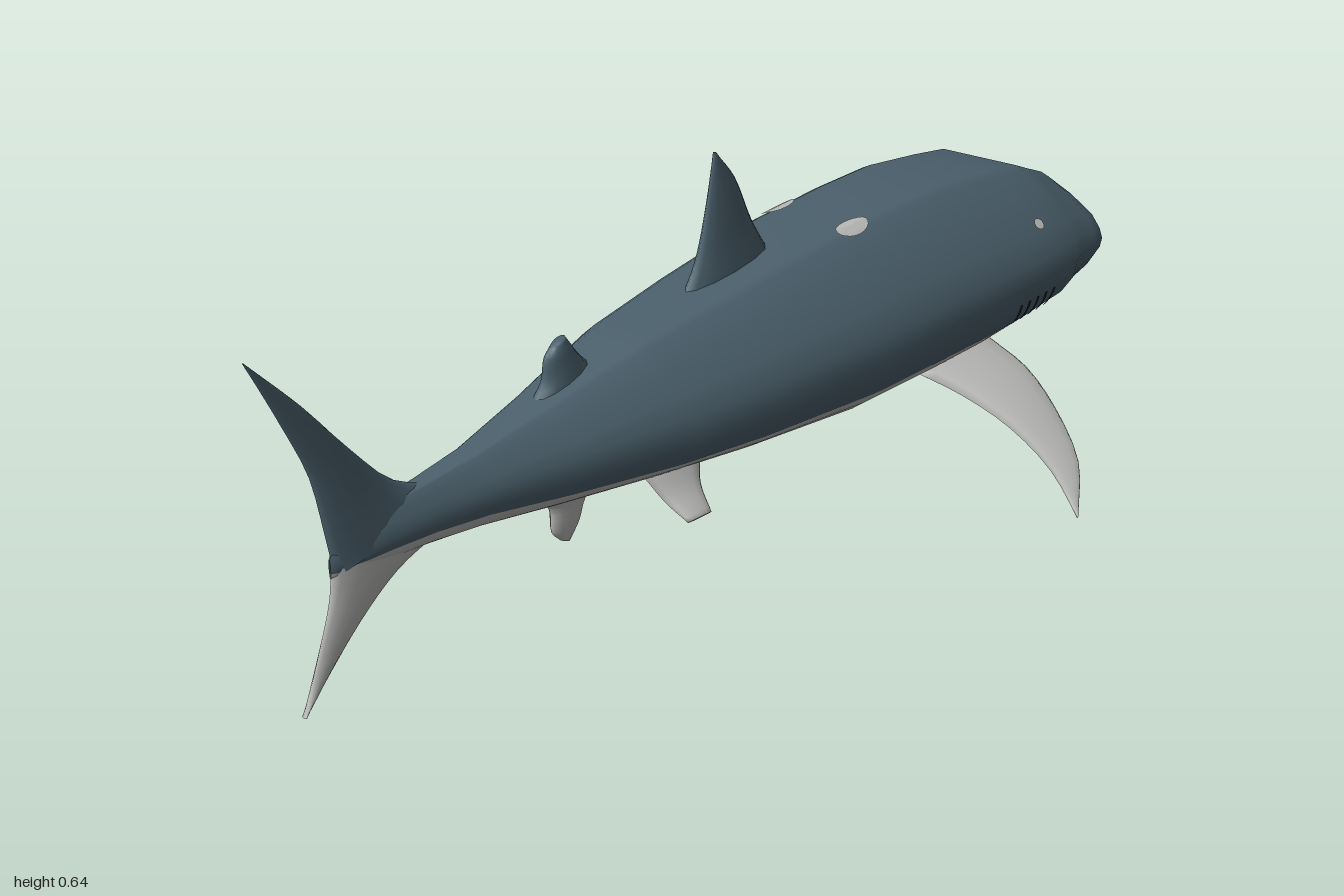
import * as THREE from 'three';

const paint = (name, color) => {
  const m = new THREE.MeshStandardMaterial({ color, side: THREE.DoubleSide });
  m.name = name;
  return m;
};

// Body stations: x, top, bottom, widest height, half width, colour split height
const STATIONS = [
  [-0.88, 0.262, 0.232, 0.25, 0.002, 0.24], [-0.87, 0.28, 0.228, 0.25, 0.008, 0.24],
  [-0.78, 0.31, 0.222, 0.262, 0.026, 0.245], [-0.7, 0.316, 0.216, 0.265, 0.037, 0.244],
  [-0.6, 0.327, 0.204, 0.265, 0.05, 0.235], [-0.45, 0.357, 0.182, 0.265, 0.087, 0.218],
  [-0.28, 0.396, 0.163, 0.265, 0.134, 0.207], [-0.24, 0.404, 0.16, 0.265, 0.146, 0.205],
  [-0.06, 0.425, 0.138, 0.265, 0.176, 0.197], [0.2, 0.451, 0.113, 0.265, 0.208, 0.191],
  [0.4, 0.458, 0.11, 0.268, 0.22, 0.19], [0.55, 0.457, 0.113, 0.268, 0.228, 0.19],
  [0.7, 0.44, 0.12, 0.268, 0.228, 0.192], [0.8, 0.426, 0.128, 0.268, 0.226, 0.197],
  [0.85, 0.406, 0.136, 0.266, 0.21, 0.205], [0.91, 0.383, 0.151, 0.264, 0.204, 0.218],
  [0.95, 0.358, 0.17, 0.262, 0.194, 0.226], [0.975, 0.332, 0.185, 0.26, 0.174, 0.229],
  [0.99, 0.3, 0.206, 0.26, 0.145, 0.23], [1, 0.268, 0.232, 0.258, 0.1, 0.23],
  [1, 0.258, 0.258, 0.258, 0, 0.23],
];
// Upper half section: width and height fractions
const UPPER = [[1, 0], [0.965, 0.2], [0.87, 0.45], [0.62, 0.78], [0.44, 0.95], [0.36, 1], [0, 1]];
const LIGHT_ROWS = 6;

const stationAt = (x) => {
  const i = Math.max(1, STATIONS.findIndex((s) => s[0] >= x));
  const a = STATIONS[i - 1], b = STATIONS[i], t = (x - a[0]) / (b[0] - a[0]);
  return a.map((v, k) => v + (b[k] - v) * t);
};

// Half width of the body at a point along its side
function sideZ(x, y) {
  const [, top, bottom, mid, w] = stationAt(x);
  if (y < mid) return w * Math.sqrt(Math.max(0, 1 - ((mid - y) / (mid - bottom)) ** 2));
  const h = (y - mid) / (top - mid);
  const i = Math.max(1, UPPER.findIndex((p) => p[1] >= h));
  const a = UPPER[i - 1], b = UPPER[i];
  return w * (a[0] + (b[0] - a[0]) * (h - a[1]) / (b[1] - a[1]));
}

// Height of the back above a point
function topY(x, z) {
  const [, top, , mid, w] = stationAt(x);
  const f = Math.abs(z) / w;
  const i = Math.max(1, UPPER.findIndex((p) => p[0] <= f));
  const a = UPPER[i - 1], b = UPPER[i];
  return mid + (top - mid) * (a[1] + (b[1] - a[1]) * (f - a[0]) / (b[0] - a[0]));
}

// Skin through closed rings; cells chosen by isSecond go in a second group
function loft(rings, isSecond = () => false) {
  const n = rings[0].length, first = [], second = [];
  for (let i = 0; i < rings.length - 1; i++) {
    for (let j = 0; j < n; j++) {
      const a = i * n + j, b = i * n + (j + 1) % n;
      (isSecond(j) ? second : first).push(a, a + n, b + n, a, b + n, b);
    }
  }
  const geo = new THREE.BufferGeometry().setFromPoints(rings.flat());
  geo.setIndex([...first, ...second]);
  geo.addGroup(0, first.length, 0);
  if (second.length) geo.addGroup(first.length, second.length, 1);
  geo.computeVertexNormals();
  return geo;
}

function bodyRing([x, top, bottom, mid, w, split]) {
  const s = THREE.MathUtils.clamp((mid - split) / Math.max(mid - bottom, 1e-4), 0, 1);
  const start = Math.asin(s), half = [];
  const lower = (a) => half.push([w * Math.cos(a), mid - (mid - bottom) * Math.sin(a)]);
  for (let k = 0; k <= LIGHT_ROWS; k++) lower(Math.PI / 2 + (start - Math.PI / 2) * k / LIGHT_ROWS);
  lower(start / 2);
  for (const [f, h] of UPPER) half.push([w * f, mid + (top - mid) * h]);
  const mirrored = half.slice(1, -1).reverse().map(([z, y]) => [-z, y]);
  return [...half, ...mirrored].map(([z, y]) => new THREE.Vector3(x, y, z));
}

// Lens-section fin between a leading and a trailing edge, root to tip
function finGeometry(lead, trail, rootThick, tipThick) {
  const curve = (pts) => new THREE.CatmullRomCurve3(pts.map((p) => new THREE.Vector3(...p)));
  const front = curve(lead), back = curve(trail), steps = 12, sides = 12, rings = [];
  const chord = front.getPoint(0).sub(back.getPoint(0));
  const span = front.getPoint(1).add(back.getPoint(1)).sub(front.getPoint(0)).sub(back.getPoint(0));
  const normal = chord.cross(span).normalize();
  for (let i = 0; i <= steps; i++) {
    const t = i / steps, a = front.getPoint(t), b = back.getPoint(t);
    const centre = a.clone().add(b).multiplyScalar(0.5), reach = a.sub(centre);
    const thick = rootThick + (tipThick - rootThick) * t;
    const ring = [];
    for (let k = 0; k < sides; k++) {
      const u = k / sides * Math.PI * 2;
      ring.push(centre.clone().addScaledVector(reach, Math.cos(u)).addScaledVector(normal, thick * Math.sin(u)));
    }
    rings.push(ring);
    if (i === steps) rings.push(ring.map(() => centre.clone()));
  }
  return loft(rings);
}

export function createModel() {
  const slate = paint('slate back', 0x4b606c);
  const pale = paint('pale belly', 0xb9b9b8);
  const dark = paint('dark gill', 0x1d272d);
  const group = new THREE.Group();
  group.name = 'shark';
  const add = (name, geo, mat) => {
    const mesh = new THREE.Mesh(geo, mat);
    mesh.name = name;
    group.add(mesh);
  };

  // Body with pale belly cells on both sides of the bottom line
  const rings = STATIONS.map(bodyRing), n = rings[0].length;
  add('body', loft(rings, (j) => j < LIGHT_ROWS || j >= n - LIGHT_ROWS), [slate, pale]);

  // Fins on the centre line
  const flat = (pts) => pts.map(([x, y]) => [x, y, 0]);
  const fin = (name, mat, lead, trail, thick, tip) =>
    add(name, finGeometry(flat(lead), flat(trail), thick, tip), mat);
  fin('dorsalFin', slate, [[0.13, 0.435], [0.085, 0.5], [0.04, 0.585], [-0.01, 0.64]],
    [[-0.1, 0.405], [-0.062, 0.465], [-0.035, 0.55], [-0.015, 0.64]], 0.025, 0.003);
  fin('secondDorsalFin', slate, [[-0.325, 0.375], [-0.355, 0.405], [-0.37, 0.425], [-0.383, 0.442]],
    [[-0.47, 0.34], [-0.435, 0.375], [-0.427, 0.415], [-0.41, 0.432]], 0.022, 0.008);
  fin('upperTailFin', slate, [[-0.66, 0.3], [-0.75, 0.337], [-0.83, 0.417], [-0.91, 0.51], [-1, 0.602]],
    [[-0.872, 0.235], [-0.884, 0.3], [-0.905, 0.4], [-0.945, 0.49], [-1, 0.6]], 0.022, 0.002);
  fin('lowerTailFin', pale, [[-0.66, 0.225], [-0.75, 0.197], [-0.83, 0.145], [-0.945, 0.04]],
    [[-0.878, 0.25], [-0.885, 0.2], [-0.91, 0.13], [-0.947, 0.037]], 0.018, 0.005);
  fin('analFin', pale, [[-0.3, 0.18], [-0.345, 0.155], [-0.36, 0.12], [-0.385, 0.09]],
    [[-0.46, 0.192], [-0.428, 0.16], [-0.425, 0.12], [-0.405, 0.098]], 0.018, 0.006);

  // Paired fins, spots, eyes and gills
  for (const [side, s] of [['left', -1], ['right', 1]]) {
    const mirror = (pts) => pts.map(([x, y, z]) => [x, y, z * s]);
    add(side + 'PectoralFin', finGeometry(
      mirror([[0.64, 0.14, 0.14], [0.615, 0.115, 0.235], [0.555, 0.08, 0.335], [0.46, 0.04, 0.44], [0.34, 0.003, 0.511]]),
      mirror([[0.38, 0.16, 0.14], [0.4, 0.13, 0.235], [0.4, 0.095, 0.335], [0.38, 0.05, 0.43], [0.337, 0.002, 0.511]]),
      0.019, 0.002), pale);
    add(side + 'PelvicFin', finGeometry(
      mirror([[-0.14, 0.17, 0.07], [-0.175, 0.14, 0.1], [-0.195, 0.108, 0.138]]),
      mirror([[-0.28, 0.18, 0.07], [-0.265, 0.14, 0.1], [-0.255, 0.112, 0.138]]), 0.015, 0.005), pale);

    // Pale spot lying on the back
    const spot = new THREE.RingGeometry(0, 1, 20, 4);
    const p = spot.attributes.position;
    for (let i = 0; i < p.count; i++) {
      const x = 0.265 + p.getX(i) * 0.042, z = s * 0.08 - p.getY(i) * 0.018;
      p.setXYZ(i, x, topY(x, z) + 0.004, z);
    }
    spot.computeVertexNormals();
    add(side + 'BackSpot', spot, pale);

    // Surface patch laid on the flank
    const onFlank = (geo, cx, cy, lean) => {
      const q = geo.attributes.position;
      for (let i = 0; i < q.count; i++) {
        const y = cy + q.getY(i), x = cx + q.getX(i) + lean * q.getY(i);
        q.setXYZ(i, x, y, s * (sideZ(x, y) + 0.004));
      }
      geo.computeVertexNormals();
      return geo;
    };
    add(side + 'Eye', onFlank(new THREE.CircleGeometry(0.008, 12).scale(1.8, 1, 1), 0.712, 0.357, 0), pale);
    for (let k = 0; k < 5; k++) {
      add(side + 'Gill' + (k + 1),
        onFlank(new THREE.PlaneGeometry(0.009, 0.046, 1, 6), 0.605 + k * 0.029, 0.217, -0.25), dark);
    }
  }
  return group;
}
